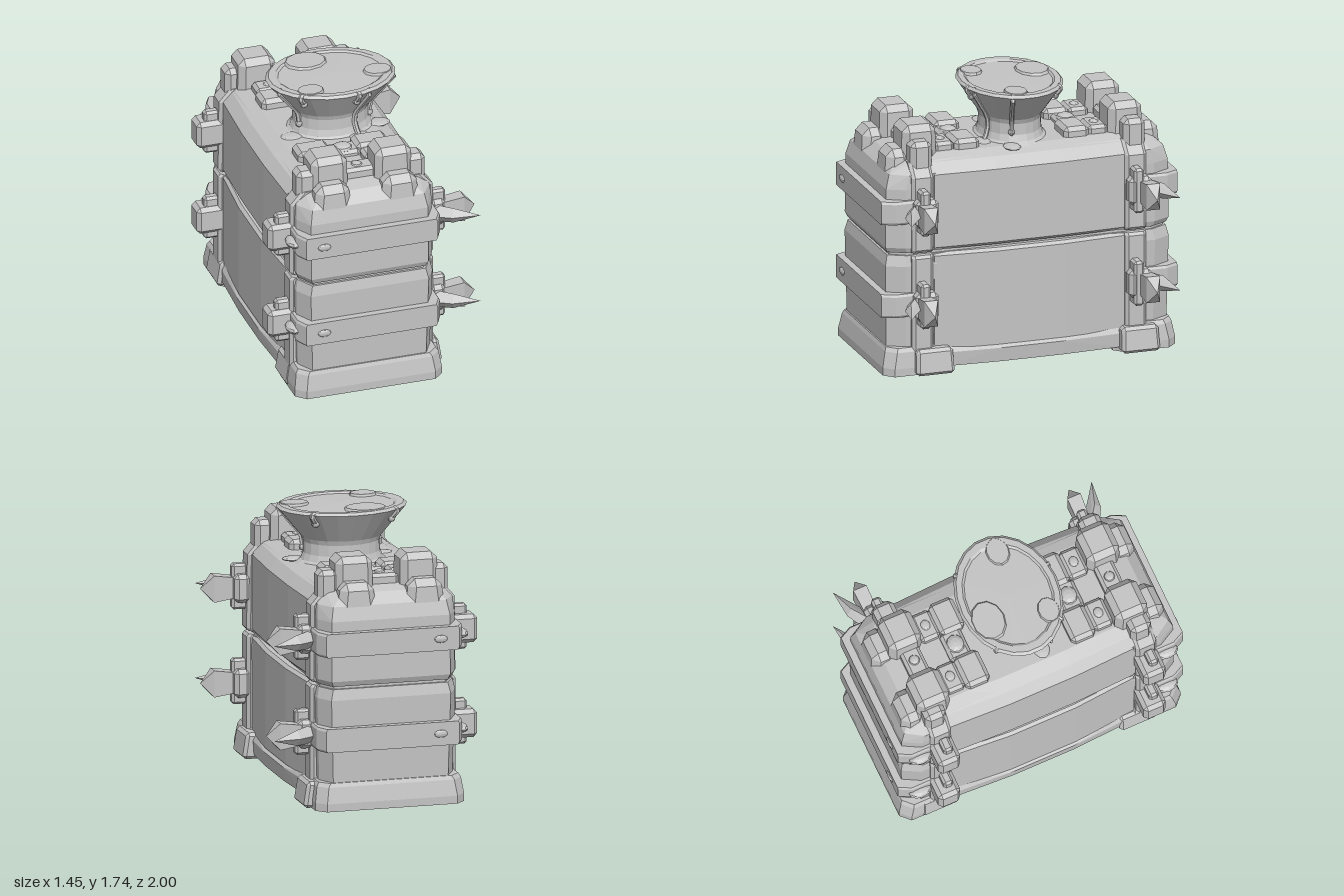
import * as THREE from 'three';
import { ConvexGeometry } from 'three/addons/geometries/ConvexGeometry.js';

const stone = new THREE.MeshStandardMaterial({ color: 0xc4c4c4 });
stone.name = 'grey stone';

const V = (x, y, z) => new THREE.Vector3(x, y, z);

function add(parent, name, geometry) {
  const mesh = new THREE.Mesh(geometry, stone);
  mesh.name = name;
  parent.add(mesh);
  return mesh;
}

// Faceted normals for the built-in round shapes
function faceted(geometry) {
  const g = geometry.index ? geometry.toNonIndexed() : geometry;
  g.computeVertexNormals();
  return g;
}

// Solid lofted through cut-corner rectangles: [y, halfX, z0, z1, cutX, cutZ]
function loft(parent, name, layers) {
  const pts = [];
  for (const [y, hx, z0, z1, cx, cz = cx] of layers) {
    for (const s of [-1, 1]) {
      pts.push(V(s * hx, y, z0 + cz), V(s * (hx - cx), y, z0), V(s * hx, y, z1 - cz), V(s * (hx - cx), y, z1));
    }
  }
  return add(parent, name, new ConvexGeometry(pts));
}

// Box with bevelled edges, standing on y0; taper shrinks the top
function block(parent, name, x, y0, z, w, h, d, c = 0.02, taper = 1) {
  const pts = [];
  for (const i of [-1, 1]) for (const j of [-1, 1]) for (const k of [-1, 1]) {
    const t = j > 0 ? taper : 1;
    const a = (w / 2) * t, b = (d / 2) * t, m = h / 2;
    pts.push(V(i * a, j * (m - c), k * (b - c)), V(i * (a - c), j * m, k * (b - c)), V(i * (a - c), j * (m - c), k * b));
  }
  const mesh = add(parent, name, new ConvexGeometry(pts));
  mesh.position.set(x, y0 + h / 2, z);
  return mesh;
}

// Low faceted stud
function stud(parent, name, x, y, z, rx, ry, rz) {
  const mesh = add(parent, name, faceted(new THREE.SphereGeometry(1, 10, 6)));
  mesh.position.set(x, y, z);
  mesh.scale.set(rx, ry, rz);
}

function buildBody(g) {
  loft(g, 'lowerBody', [[0.14, 0.43, -0.92, 0.92, 0.06, 0.11], [0.7, 0.445, -0.93, 0.93, 0.06, 0.11], [0.768, 0.43, -0.915, 0.915, 0.06, 0.11]]);
  loft(g, 'seamCore', [[0.7, 0.42, -0.9, 0.9, 0.06, 0.1], [0.85, 0.42, -0.9, 0.9, 0.06, 0.1]]);
  loft(g, 'upperBody', [[0.786, 0.43, -0.915, 0.915, 0.06, 0.11], [0.82, 0.442, -0.93, 0.93, 0.06, 0.11],
    [1.2, 0.442, -0.925, 0.925, 0.06, 0.11], [1.29, 0.435, -0.9, 0.9, 0.07, 0.11], [1.355, 0.37, -0.83, 0.83, 0.08], [1.378, 0.3, -0.74, 0.74, 0.08]]);

  // Slightly bulging side walls, fuller on the lower half
  const wall = (name, bulge, rows) => {
    const pts = [];
    for (const [y, inset] of rows) for (const s of [-1, 1]) for (const [z, x] of [[0.63, 0.443], [0.22, bulge]]) {
      pts.push(V(s * (x - inset), y, z), V(s * (x - inset), y, -z));
    }
    add(g, name, new ConvexGeometry(pts));
  };
  wall('lowerWalls', 0.475, [[0.14, 0], [0.75, 0], [0.768, 0.02]]);
  wall('upperWalls', 0.46, [[0.786, 0.02], [0.805, 0], [1.28, 0], [1.345, 0.06], [1.378, 0.15]]);

  for (const e of [-1, 1]) {
    const z0 = e * 0.7 - 0.06, z1 = e * 0.7 + 0.08;
    // Corner columns
    loft(g, 'lowerColumn', [[0.14, 0.47, z0, z1, 0.02], [0.75, 0.47, z0, z1, 0.02], [0.768, 0.455, z0, z1, 0.02]]);
    loft(g, 'upperColumn', [[0.786, 0.455, z0, z1, 0.02], [0.805, 0.47, z0, z1, 0.02], [1.275, 0.465, z0, z1, 0.02], [1.36, 0.39, z0, z1, 0.02]]);
    // Foot caps of the plinth, with a wider pad under the columns
    const f0 = e > 0 ? 0.55 : -0.96, f1 = e > 0 ? 0.96 : -0.55;
    loft(g, 'foot', [[0, 0.48, f0, f1, 0.06], [0.05, 0.48, f0, f1, 0.06], [0.15, 0.465, f0 + 0.02, f1 - 0.02, 0.06], [0.175, 0.45, f0 + 0.03, f1 - 0.03, 0.06]]);
    block(g, 'footPad', 0.02, 0, e * 0.675 - 0.03, 1.02, 0.165, 0.25, 0.02, 0.96);
  }
  // Plinth between the feet
  const base = [];
  for (const s of [-1, 1]) for (const e of [-1, 1]) {
    base.push(V(s * 0.46, 0.03, e * 0.58), V(s * 0.48, 0.03, e * 0.2), V(s * 0.465, 0.12, e * 0.58), V(s * 0.488, 0.12, e * 0.2), V(s * 0.445, 0.155, e * 0.58));
  }
  add(g, 'plinth', new ConvexGeometry(base));
}

function buildStraps(g) {
  for (const y of [0.455, 1.06]) for (const e of [-1, 1]) {
    // Strap round one end
    const z0 = e > 0 ? 0.62 : -0.972, z1 = e > 0 ? 0.972 : -0.62;
    loft(g, 'endStrap', [[y - 0.075, 0.46, z0, z1, 0.04, 0.08], [y - 0.06, 0.47, z0, z1, 0.04, 0.08],
      [y + 0.06, 0.47, z0, z1, 0.04, 0.08], [y + 0.075, 0.46, z0, z1, 0.04, 0.08]]);
    stud(g, 'strapStud', -0.31, y, e * 0.97, 0.045, 0.025, 0.015);

    for (const s of [-1, 1]) {
      // Plates that fix the strap to the columns
      block(g, 'sideClasp', s * 0.5, y - 0.09, e * 0.7 + 0.005, s < 0 ? 0.22 : 0.1, 0.18, 0.15, 0.025);
      block(g, 'claspBar', s * 0.505, y - 0.14, e * 0.7 + 0.02, 0.1, 0.29, 0.065, 0.015);
    }
    // Long side stud on the left of the strap
    stud(g, 'sideStud', -0.475, y, e * 0.84, 0.045, 0.03, 0.075);

    // Long spike with a pyramid tip
    const spike = [V(0.75, y, e * 0.73)];
    for (const j of [-1, 1]) for (const k of [-1, 1]) {
      spike.push(V(0.5, y + j * 0.06, e * 0.725 + k * 0.04), V(0.67, y + j * 0.085, e * 0.73 + k * 0.045));
    }
    add(g, 'longSpike', new ConvexGeometry(spike));
    // Slanting spike beside it
    const side = [V(0.74, y, e * 0.882)];
    for (const [x, h, w, z] of [[0.45, 0.06, 0.05, 0.74], [0.58, 0.05, 0.035, 0.83]]) {
      side.push(V(x, y + h, e * z), V(x, y - h, e * z), V(x - w / 2, y, e * (z + w)), V(x + w / 2, y, e * (z - w)));
    }
    add(g, 'slantSpike', new ConvexGeometry(side));
  }
}

function buildTopBlocks(g) {
  for (const e of [-1, 1]) {
    // The rear blocks sit slightly to one side
    const shift = e < 0 ? -0.02 : 0;
    for (const s of [-1, 1]) {
      block(g, 'tallBlock', s * 0.21 + shift, 1.25, e * 0.68, 0.25, 0.32, 0.23, 0.04, 0.95);
      block(g, 'endBlock', s * 0.22 + shift, 1.2, e * 0.82, 0.25, 0.225, 0.17, 0.045, 0.88);
      block(g, 'shoulderBlock', s * 0.355, 1.25, e * 0.7, 0.13, 0.24, 0.14, 0.03);
      block(g, 'outerPlate', s * 0.185, 1.33, e * 0.505, 0.19, 0.1, 0.13, 0.02);
      block(g, 'innerPlate', s * 0.19, 1.33, e * 0.36, 0.22, 0.11, 0.165, 0.025);
      stud(g, 'plateStud', s * 0.185, 1.43, e * 0.505, 0.035, 0.012, 0.03);
    }
    block(g, 'middlePlate', 0, 1.33, e * 0.385, 0.2, 0.085, 0.14, 0.02);
    stud(g, 'middleStud', 0, 1.41, e * 0.385, 0.065, 0.03, 0.06);
    block(g, 'crossBar', 0, 1.33, e * 0.665, 0.22, 0.11, 0.13, 0.02);
    stud(g, 'crossBarStud', 0, 1.44, e * 0.665, 0.035, 0.018, 0.035);
  }
}

function buildFunnel(g) {
  const funnel = new THREE.Group();
  funnel.name = 'funnel';
  funnel.position.x = 0.05;
  funnel.scale.x = 1.27;
  g.add(funnel);

  const profile = [[0.24, 1.36], [0.205, 1.39], [0.192, 1.43], [0.19, 1.5], [0.2, 1.53], [0.305, 1.69],
    [0.325, 1.72], [0.31, 1.736], [0.275, 1.736], [0.262, 1.725], [0, 1.73]];
  add(funnel, 'bowl', faceted(new THREE.LatheGeometry(profile.map(([r, y]) => new THREE.Vector2(r, y)), 22)));

  // Drips: [angle, lowest height]
  const drips = [[0.35, 1.37], [1.15, 1.36], [1.35, 1.66], [2.3, 1.66], [2.75, 1.37], [3.9, 1.66], [5.4, 1.66]];
  for (const [a, low] of drips) {
    const path = [[0.3, 1.73], [0.322, 1.715], [0.288, 1.66], [0.245, 1.595], [0.203, 1.53], [0.194, 1.45], [0.235, 1.365]]
      .filter(([, y]) => y >= low - 0.005)
      .map(([r, y]) => V(Math.cos(a) * r, y, Math.sin(a) * r));
    add(funnel, 'drip', faceted(new THREE.TubeGeometry(new THREE.CatmullRomCurve3(path), 8, 0.014, 6)));
    const end = path[path.length - 1];
    stud(funnel, 'dripEnd', end.x, end.y, end.z, 0.02, 0.024, 0.02);
    if (low < 1.4) stud(funnel, 'puddle', Math.cos(a) * 0.24, 1.375, Math.sin(a) * 0.24, 0.06, 0.015, 0.055);
  }
  // Hardened spills on the rim
  for (const [a, r] of [[0.25, 0.075], [2.25, 0.07], [4.3, 0.11]]) {
    const spill = add(funnel, 'rimSpill', faceted(new THREE.CylinderGeometry(r * 0.9, r, 0.02, 11)));
    spill.position.set(Math.cos(a) * (0.31 - r), 1.732, Math.sin(a) * (0.31 - r));
  }
}

export function createModel() {
  const model = new THREE.Group();
  model.name = 'strappedChest';
  const chest = new THREE.Group();
  chest.name = 'chest';
  buildBody(chest);
  buildStraps(chest);
  buildTopBlocks(chest);
  buildFunnel(chest);
  // The whole chest stands slightly askew
  chest.rotation.y = -0.065;
  chest.position.x = -0.07;
  model.add(chest);
  return model;
}
